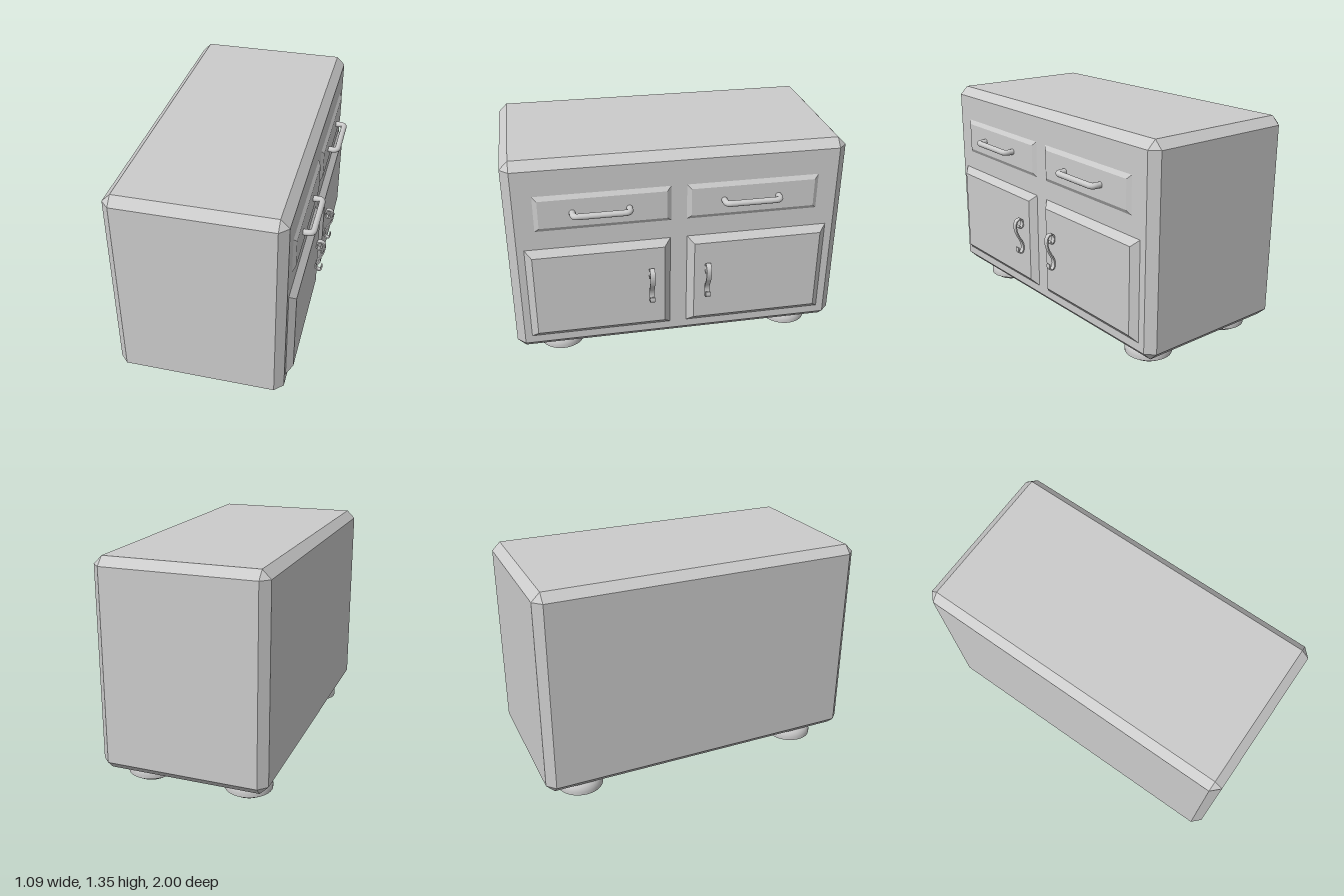
import * as THREE from 'three';
import { ConvexGeometry } from 'three/addons/geometries/ConvexGeometry.js';
import { toCreasedNormals } from 'three/addons/utils/BufferGeometryUtils.js';

const material = new THREE.MeshStandardMaterial({ color: 0xcccccc });
const FRONT = 0.45; // x of the face that carries doors and drawers

function add(parent, name, geometry, x = 0, y = 0, z = 0) {
  const mesh = new THREE.Mesh(geometry, material);
  mesh.name = name;
  mesh.position.set(x, y, z);
  parent.add(mesh);
  return mesh;
}

// Box with every edge cut at 45 degrees
function chamferedBox(w, h, d, c) {
  const points = [];
  for (const sx of [-1, 1]) for (const sy of [-1, 1]) for (const sz of [-1, 1]) {
    for (let face = 0; face < 3; face++) {
      const half = [w / 2, h / 2, d / 2].map((v, i) => (i === face ? v : v - c));
      points.push(new THREE.Vector3(half[0] * sx, half[1] * sy, half[2] * sz));
    }
  }
  return new ConvexGeometry(points);
}

// Raised panel on the cabinet face, sloping in by `inset` over `depth`
function raisedPanel(y0, y1, z0, z1, depth, inset) {
  const points = [];
  for (const [x, i] of [[FRONT, 0], [FRONT + depth, inset]]) {
    for (const y of [y0 + i, y1 - i]) for (const z of [z0 + i, z1 - i]) {
      points.push(new THREE.Vector3(x, y, z));
    }
  }
  return new ConvexGeometry(points);
}

// Round bar bent into a bracket, ends sunk into the drawer
function barHandle() {
  const v = (x, z) => new THREE.Vector3(x, 0, z);
  const out = 0.522, end = 0.163, r = 0.03;
  const path = new THREE.CurvePath();
  path.add(new THREE.LineCurve3(v(FRONT, -end), v(out - r, -end)));
  path.add(new THREE.QuadraticBezierCurve3(v(out - r, -end), v(out, -end), v(out, -end + r)));
  path.add(new THREE.LineCurve3(v(out, -end + r), v(out, end - r)));
  path.add(new THREE.QuadraticBezierCurve3(v(out, end - r), v(out, end), v(out - r, end)));
  path.add(new THREE.LineCurve3(v(out - r, end), v(FRONT, end)));
  return new THREE.TubeGeometry(path, 80, 0.018, 16);
}

// Flat strap following an S with curled ends
function scrollHandle() {
  const curve = new THREE.SplineCurve([
    [0.513, 0.588], [0.52, 0.583], [0.518, 0.576], [0.506, 0.572], [0.493, 0.583],
    [0.489, 0.605], [0.498, 0.626], [0.515, 0.63], [0.534, 0.617], [0.541, 0.585],
    [0.533, 0.543], [0.513, 0.502], [0.495, 0.465], [0.491, 0.432], [0.501, 0.409],
    [0.516, 0.405], [0.528, 0.419], [0.527, 0.443],
  ].map(p => new THREE.Vector2(...p)));
  const n = 90, left = [], right = [];
  for (let i = 0; i <= n; i++) {
    const p = curve.getPoint(i / n), t = curve.getTangent(i / n);
    const normal = new THREE.Vector2(-t.y, t.x).multiplyScalar(0.004);
    left.push(p.clone().add(normal));
    right.unshift(p.clone().sub(normal));
  }
  const width = 0.03;
  const strap = new THREE.ExtrudeGeometry(new THREE.Shape([...left, ...right]),
    { depth: width, bevelEnabled: false });
  strap.translate(0, 0, -width / 2);
  return toCreasedNormals(strap, 0.8);
}

// Bun foot: small base, stepped rim, rounded top
function bunFoot() {
  const profile = [[0, 0], [0.1, 0], [0.118, 0.025], [0.139, 0.025], [0.14, 0.045],
    [0.138, 0.06], [0.132, 0.076], [0.122, 0.09], [0.108, 0.102], [0, 0.104]];
  const foot = new THREE.LatheGeometry(profile.map(p => new THREE.Vector2(...p)), 40);
  return toCreasedNormals(foot, 0.6);
}

export function createModel() {
  const model = new THREE.Group();
  model.name = 'sideboard';

  add(model, 'cabinetBody', chamferedBox(1, 1.25, 2, 0.05), -0.05, 0.725, 0);

  // One door and one drawer on each half of the face
  const bar = barHandle(), scroll = scrollHandle();
  const halves = [
    { side: 'left', door: [0.053, 0.908], drawer: [0.048, 0.838], barZ: 0.456, scrollZ: 0.174 },
    { side: 'right', door: [-0.905, -0.048], drawer: [-0.832, -0.045], barZ: -0.426, scrollZ: -0.168 },
  ];
  for (const { side, door, drawer, barZ, scrollZ } of halves) {
    add(model, side + 'Door', raisedPanel(0.2, 0.805, ...door, 0.037, 0.04));
    add(model, side + 'Drawer', raisedPanel(0.923, 1.145, ...drawer, 0.016, 0.025));
    add(model, side + 'DrawerHandle', bar, 0, 1.035, barZ);
    add(model, side + 'DoorHandle', scroll, 0, 0, scrollZ);
  }

  // Four feet
  const foot = bunFoot();
  for (const x of [-0.37, 0.24]) for (const z of [-0.757, 0.72]) {
    add(model, 'foot', foot, x, 0, z);
  }
  return model;
}
